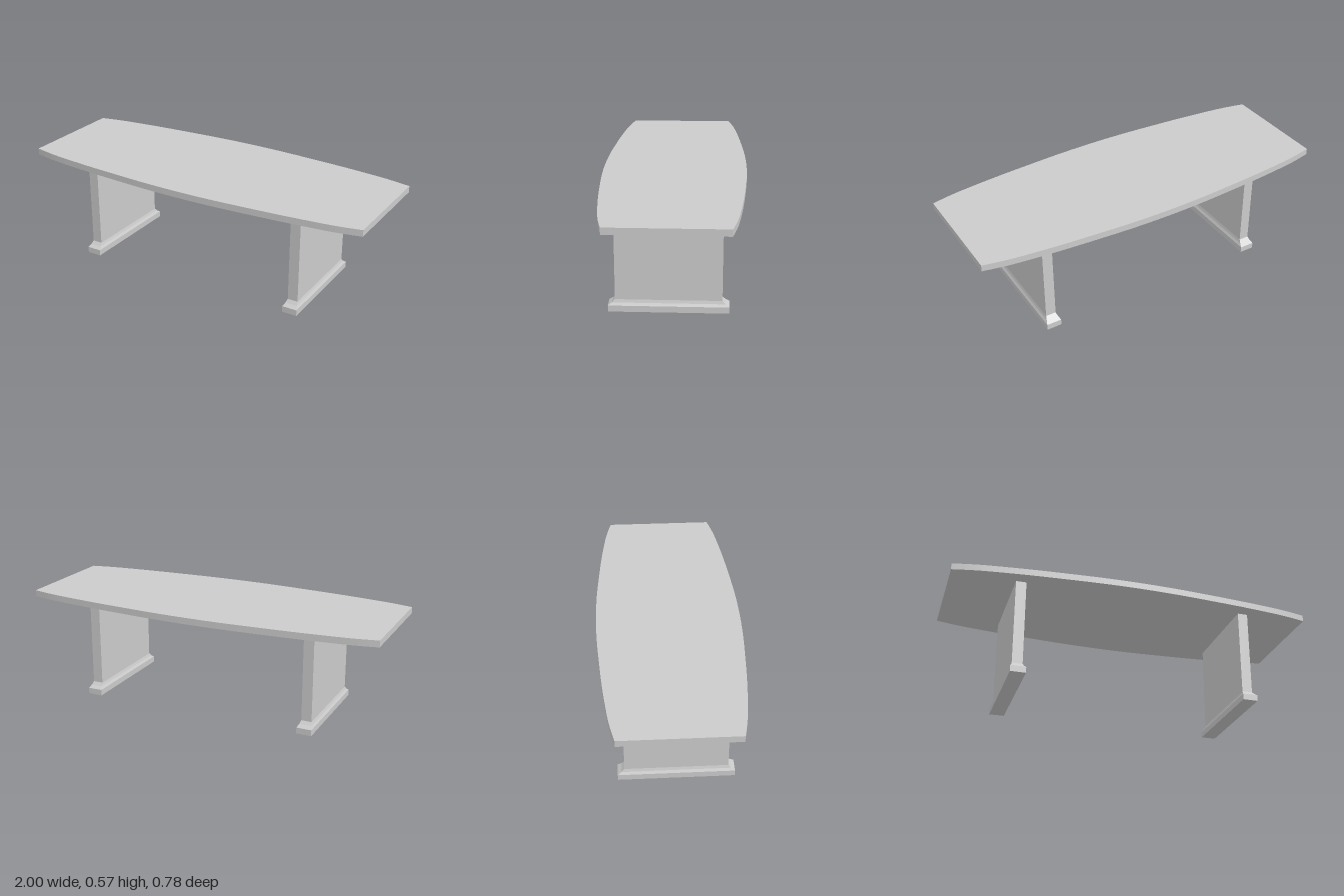
import * as THREE from 'three';
import { toCreasedNormals } from 'three/addons/utils/BufferGeometryUtils.js';

const TOP = 0.571, UNDER = 0.536;
const material = new THREE.MeshStandardMaterial({ color: 0xcccccc });

function addMesh(parent, name, geometry) {
  const mesh = new THREE.Mesh(geometry, material);
  mesh.name = name;
  parent.add(mesh);
  return mesh;
}

// Boat-shaped slab: straight ends, bowed long sides
function tabletopGeometry() {
  const half = [[0, 0.388], [0.2, 0.384], [0.4, 0.372], [0.6, 0.357], [0.8, 0.336], [0.9, 0.321], [1, 0.3]];
  const mirrored = half.slice(1).reverse().map(([x, z]) => [-x, z]);
  const curve = new THREE.SplineCurve([...mirrored, ...half].map(([x, z]) => new THREE.Vector2(x, z)));
  const side = curve.getPoints(48);
  const opposite = side.map((p) => new THREE.Vector2(-p.x, -p.y));
  const geometry = new THREE.ExtrudeGeometry(new THREE.Shape([...side, ...opposite]), {
    depth: TOP - UNDER, bevelEnabled: false,
  });
  geometry.rotateX(Math.PI / 2);
  return toCreasedNormals(geometry, 0.5);
}

// Box whose height rows follow a profile of [y, half width, half depth]
function profiledBox(rows) {
  const box = new THREE.BoxGeometry(2, 2, 2, 1, rows.length - 1, 1);
  const pos = box.attributes.position;
  for (let i = 0; i < pos.count; i++) {
    const row = Math.round((pos.getY(i) + 1) / 2 * (rows.length - 1));
    const [y, w, d] = rows[row];
    pos.setXYZ(i, Math.sign(pos.getX(i)) * w, y, Math.sign(pos.getZ(i)) * d);
  }
  const geometry = box.toNonIndexed();
  geometry.computeVertexNormals();
  return geometry;
}

export function createModel() {
  const table = new THREE.Group();
  table.name = 'conferenceTable';

  addMesh(table, 'tabletop', tabletopGeometry()).position.y = TOP;

  // Slab legs standing on a plinth with a sloped, slightly hollow moulding
  const panel = profiledBox([[0.063, 0.028, 0.27], [UNDER, 0.028, 0.27]]);
  const plinth = profiledBox([
    [0, 0.041, 0.305], [0.033, 0.041, 0.305], [0.047, 0.033, 0.285], [0.063, 0.028, 0.27],
  ]);
  for (const [name, x] of [['leftLeg', 0.635], ['rightLeg', -0.628]]) {
    const leg = new THREE.Group();
    leg.name = name;
    leg.position.set(x, 0, 0.0075);
    addMesh(leg, 'legPanel', panel);
    addMesh(leg, 'legPlinth', plinth);
    table.add(leg);
  }
  return table;
}
